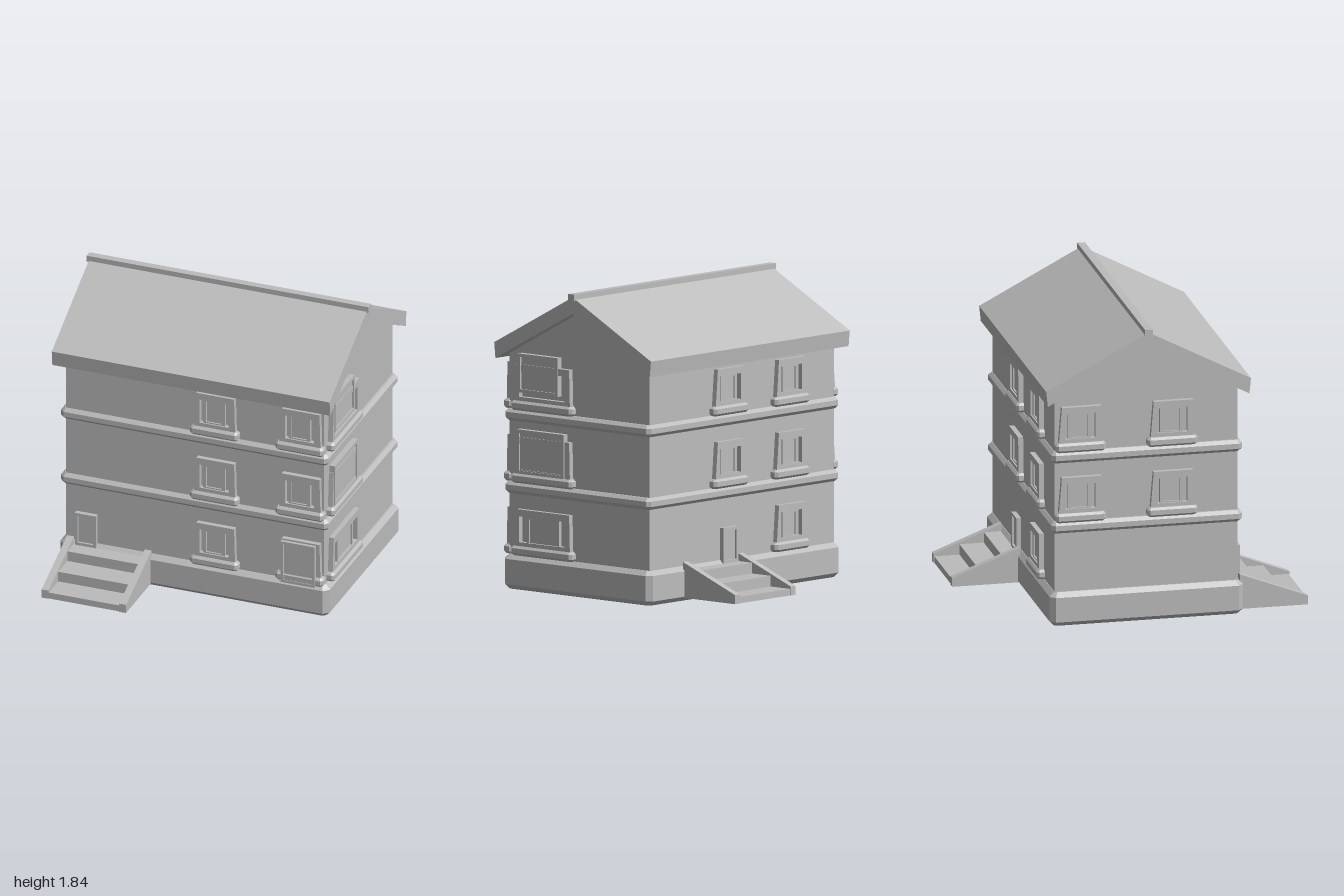
import * as THREE from 'three';

export function createModel() {
  const model = new THREE.Group();
  model.name = 'house';
  const grey = new THREE.MeshStandardMaterial({ color: 0xbcbcbc });
  grey.name = 'plain grey';

  function add(parent, name, geometry, x = 0, y = 0, z = 0) {
    const mesh = new THREE.Mesh(geometry, grey);
    mesh.name = name;
    mesh.position.set(x, y, z);
    parent.add(mesh);
    return mesh;
  }
  const polygon = (pts) => new THREE.Shape(pts.map(([x, y]) => new THREE.Vector2(x, y)));
  const extrude = (shape, depth) => new THREE.ExtrudeGeometry(shape, { depth, bevelEnabled: false });

  // Box by its limits
  function block(parent, name, x0, x1, y0, y1, z0, z1) {
    add(parent, name, new THREE.BoxGeometry(x1 - x0, y1 - y0, z1 - z0),
      (x0 + x1) / 2, (y0 + y1) / 2, (z0 + z1) / 2);
  }

  // Box standing on y = 0 with every edge cut off by c
  function chamferBox(w, h, d, c) {
    const a = w / 2 - c, b = d / 2 - c, k = c * 0.6;
    const plan = polygon([[a - k, -b], [a, -b + k], [a, b - k], [a - k, b],
      [-a + k, b], [-a, b - k], [-a, -b + k], [-a + k, -b]]);
    const geo = new THREE.ExtrudeGeometry(plan, {
      depth: h - 2 * c, bevelEnabled: true, bevelThickness: c, bevelSize: c, bevelSegments: 1,
    });
    return geo.rotateX(-Math.PI / 2).translate(0, c, 0);
  }

  // Flat rectangular ring, standing on z = 0
  function ring(x0, x1, y0, y1, t, depth, slant = 0) {
    const shape = polygon([[x0, y0], [x1, y0], [x1 - slant / 3, y1], [x0 + slant, y1]]);
    shape.holes.push(polygon([[x0 + t, y0 + t], [x0 + t, y1 - t], [x1 - t, y1 - t], [x1 - t, y0 + t]]));
    return extrude(shape, depth);
  }

  // Masonry: plinth, walls with gables, floor bands
  const X = 0.83, Z = 0.563;
  add(model, 'plinth', chamferBox(1.735, 0.21, 1.19, 0.028));
  const gable = polygon([[-Z, 0.15], [Z, 0.15], [Z, 1.44], [0, 1.74], [-Z, 1.44]]);
  add(model, 'walls', extrude(gable, 2 * X).rotateY(Math.PI / 2), -X);
  for (const y of [0.58, 1.02]) add(model, 'floorBand', chamferBox(1.725, 0.072, 1.174, 0.02), 0, y, 0);

  // Roof and ridge cap
  const chevron = polygon([[0, 1.72], [0.62, 1.395], [0.63, 1.49], [0, 1.82],
    [-0.63, 1.49], [-0.62, 1.395]]);
  add(model, 'roof', extrude(chevron, 1.79).rotateY(Math.PI / 2), -0.897);
  block(model, 'ridgeCap', -0.91, 0.905, 1.8, 1.84, -0.024, 0.024);

  // Each wall is a group whose local +z points outward
  function wall(name, angle, distance) {
    const g = new THREE.Group();
    g.name = name;
    g.rotation.y = angle;
    g.position.set(Math.sin(angle) * distance, 0, Math.cos(angle) * distance);
    model.add(g);
    return g;
  }
  const front = wall('frontWall', 0, Z);
  const back = wall('backWall', Math.PI, Z);
  const right = wall('leftWall', Math.PI / 2, X);
  const left = wall('rightWall', -Math.PI / 2, X);
  const floors = [0.21, 0.65, 1.09];

  // Window: surround, sill, sash and pane; sash = [x0, x1, y0, y1, depth]
  function windowUnit(parent, x, y, w = 0.27, sash = [-0.075, 0.065, 0.07, 0.248, 0.022]) {
    const g = new THREE.Group();
    g.name = 'window';
    g.position.set(x, y, 0);
    parent.add(g);
    add(g, 'windowFrame', ring(-w / 2, w / 2, 0.04, 0.28, 0.042, 0.031, 0.02));
    add(g, 'sill', chamferBox(w + 0.04, 0.058, 0.07, 0.014), 0, 0, 0.014);
    const [x0, x1, y0, y1, depth] = sash;
    add(g, 'sash', ring(x0, x1, y0, y1, 0.02, depth));
    block(g, 'pane', x0 + 0.02, x1 - 0.02, y0 + 0.02, y1 - 0.02, -0.01, depth - 0.01);
  }

  floors.forEach((y, i) => {
    windowUnit(front, 0.135, y);
    windowUnit(front, 0.685, y);
    windowUnit(back, 0.415, y);
    if (i > 0) {
      windowUnit(back, -0.135, y);
      windowUnit(left, -0.41, y);
      windowUnit(left, 0.155, y);
    }
  });

  // Wide windows, each with its own sash
  const wideSashes = [
    [-0.13, 0.13, 0.06, 0.245, 0.024],
    [-0.2, 0.18, 0.055, 0.325, 0.036],
    [-0.19, 0.13, 0.11, 0.345, 0.036],
  ];
  floors.forEach((y, i) => windowUnit(right, -0.275, y, 0.45, wideSashes[i]));

  // Tall panel over the ground floor corner window
  add(front, 'panelFrame', ring(0.57, 0.79, 0.205, 0.48, 0.018, 0.052));
  block(front, 'panel', 0.588, 0.772, 0.223, 0.462, -0.01, 0.042);

  // Door with a flight of steps between sloping cheeks
  function entrance(parent, doorX, stepX) {
    add(parent, 'doorFrame', ring(doorX - 0.068, doorX + 0.068, 0.19, 0.405, 0.018, 0.03));
    block(parent, 'door', doorX - 0.05, doorX + 0.05, 0.2, 0.39, -0.01, 0.016);
    const flight = new THREE.Group();
    flight.name = 'steps';
    flight.position.set(stepX, 0, -Z);
    parent.add(flight);
    [[0.69, 0.19], [0.84, 0.125], [0.995, 0.06]].forEach(([z, y]) =>
      block(flight, 'step', -0.25, 0.25, 0.02, y, 0.55, z));
    const cheek = polygon([[-0.58, 0.02], [-0.58, 0.237], [-1, 0.075], [-1, 0.02]].reverse());
    for (const x of [-0.272, 0.228])
      add(flight, 'stepCheek', extrude(cheek, 0.044).rotateY(Math.PI / 2), x);
  }
  entrance(front, -0.695, -0.545);
  entrance(back, -0.13, -0.278);

  return model;
}
